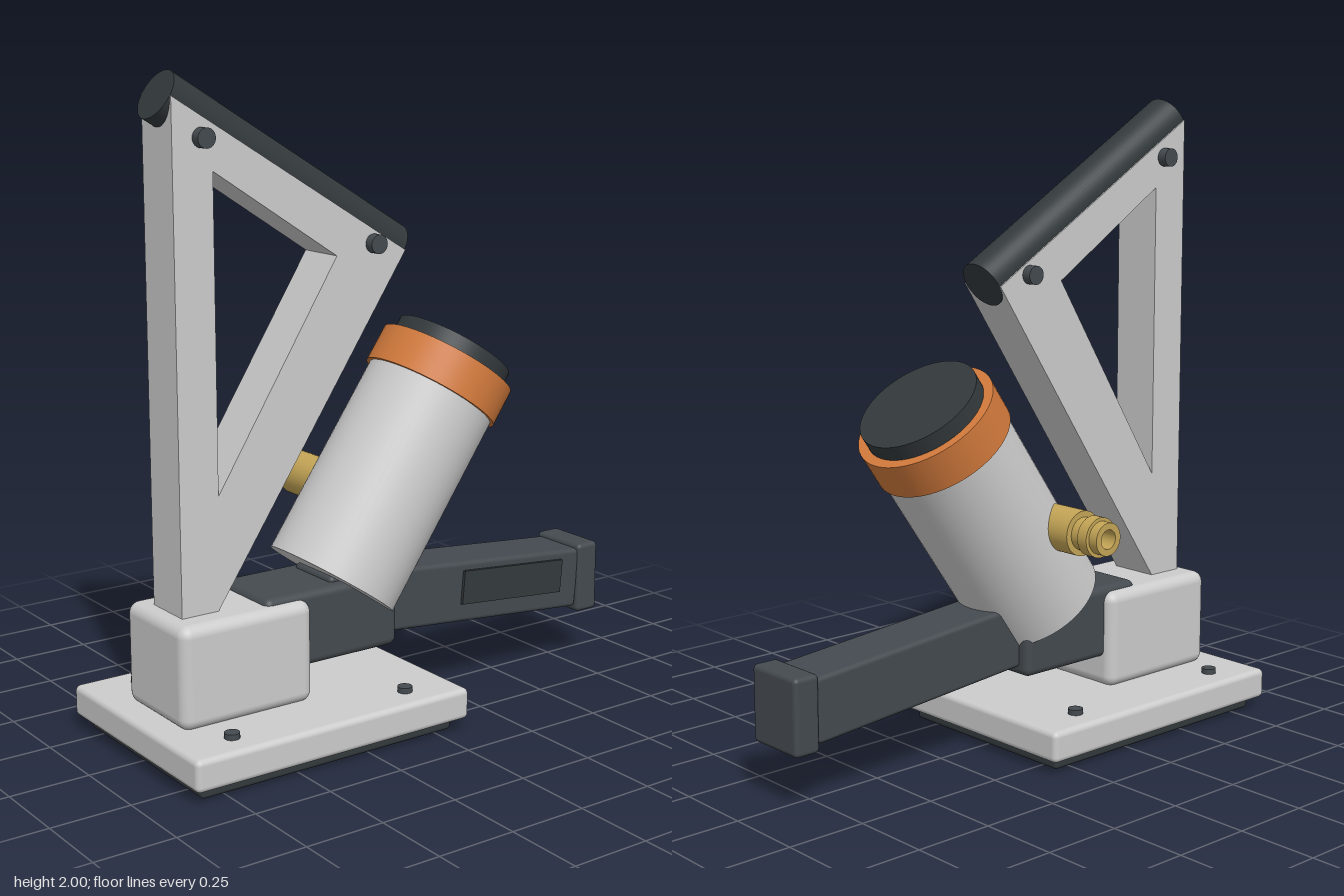
import * as THREE from 'three';
import { RoundedBoxGeometry } from 'three/addons/geometries/RoundedBoxGeometry.js';

const Z0 = 0.013; // middle plane of the device
const material = (color) => new THREE.MeshStandardMaterial({ color });

export function createModel() {
  const model = new THREE.Group();
  model.name = 'device';
  const grey = material(0xcccccc);
  const dark = material(0x444a4f);
  const black = material(0x33393c);
  const copper = material(0xd27a3c);
  const brass = material(0xc4a556);

  const add = (name, geometry, mat, x, y, z = Z0, parent = model) => {
    const mesh = new THREE.Mesh(geometry, mat);
    mesh.name = name;
    mesh.position.set(x, y, z);
    parent.add(mesh);
    return mesh;
  };
  // rounded box given by its x and y limits and its depth
  const block = (name, x0, x1, y0, y1, depth, r, mat) =>
    add(name, new RoundedBoxGeometry(x1 - x0, y1 - y0, depth, 4, r), mat, (x0 + x1) / 2, (y0 + y1) / 2);
  const cylinder = (r, h, n = 48) => new THREE.CylinderGeometry(r, r, h, n);

  // Base
  block('rubberFoot', -0.825, 0.06, 0, 0.06, 0.655, 0.012, black);
  block('basePlate', -0.862, 0.1, 0.038, 0.136, 0.735, 0.018, grey);
  for (const x of [-0.69, -0.076])
    for (const z of [-0.272, 0.272]) add('baseBolt', cylinder(0.023, 0.04, 24), dark, x, 0.133, Z0 + z);
  block('mountBlock', -0.785, -0.335, 0.13, 0.445, 0.335, 0.035, grey);
  block('body', -0.482, 0, 0.23, 0.463, 0.27, 0.025, dark);

  // Handle, sloping gently down to its end cap
  const handle = new THREE.Group();
  handle.name = 'handle';
  handle.position.set(0.775, 0.29, Z0);
  handle.rotation.z = -0.089;
  model.add(handle);
  add('handleBar', new RoundedBoxGeometry(1.02, 0.2, 0.195, 4, 0.015), dark, -0.505, 0, 0, handle);
  add('gripPanel', new THREE.BoxGeometry(0.415, 0.11, 0.03), black, -0.288, 0.017, 0.093, handle);
  block('handleEndCap', 0.773, 0.86, 0.17, 0.405, 0.21, 0.015, dark);

  // Tilted barrel with collar and cap
  const barrel = new THREE.Group();
  barrel.name = 'barrel';
  barrel.position.set(-0.156, 0.436, Z0);
  barrel.rotation.z = -THREE.MathUtils.degToRad(35);
  model.add(barrel);
  add('barrelTube', cylinder(0.2125, 0.7, 64), grey, 0, 0.35, 0, barrel);
  add('barrelCollar', cylinder(0.224, 0.12, 64), copper, 0, 0.72, 0, barrel);
  add('barrelCap', cylinder(0.193, 0.13, 64), black, 0, 0.765, 0, barrel);

  // Hose fitting pointing to the back, with a bore in its end
  const steps = [[0, 0], [0.07, 0], [0.07, 0.175], [0.051, 0.175], [0.051, 0.212], [0.062, 0.212],
    [0.062, 0.25], [0.051, 0.25], [0.051, 0.282], [0.03, 0.282], [0.03, 0.2], [0, 0.2]];
  // each step is doubled so that its edges stay sharp
  const profile = steps.flatMap(([r, h]) => [new THREE.Vector2(r, h), new THREE.Vector2(r, h + 1e-5)]);
  const fitting = add('hoseFitting', new THREE.LatheGeometry(profile, 40), brass, -0.088, 0.707, -0.1);
  fitting.rotation.x = -Math.PI / 2;

  // Triangular frame
  const path = (points) => points.map(([x, y]) => new THREE.Vector2(x, y));
  const outline = new THREE.Shape(path([[-0.735, 0.42], [-0.629, 0.42], [0.063, 1.45], [-0.735, 1.934]]));
  outline.holes.push(new THREE.Path(path([[-0.606, 0.79], [-0.606, 1.722], [-0.188, 1.452]])));
  const frame = new THREE.ExtrudeGeometry(outline, { depth: 0.164, bevelEnabled: false });
  add('triangleFrame', frame, grey, 0, 0, Z0 - 0.082);

  // Round rail along the top edge of the frame
  const a = new THREE.Vector2(-0.735, 1.934);
  const b = new THREE.Vector2(0.063, 1.45);
  const rail = add('topRail', cylinder(0.077, a.distanceTo(b)), black, (a.x + b.x) / 2, (a.y + b.y) / 2);
  rail.rotation.z = Math.atan2(b.y - a.y, b.x - a.x) - Math.PI / 2;

  // Cross pins through the frame
  for (const [x, y] of [[-0.642, 1.817], [-0.055, 1.479]])
    add('crossPin', cylinder(0.029, 0.226, 24), dark, x, y).rotation.x = Math.PI / 2;

  return model;
}
